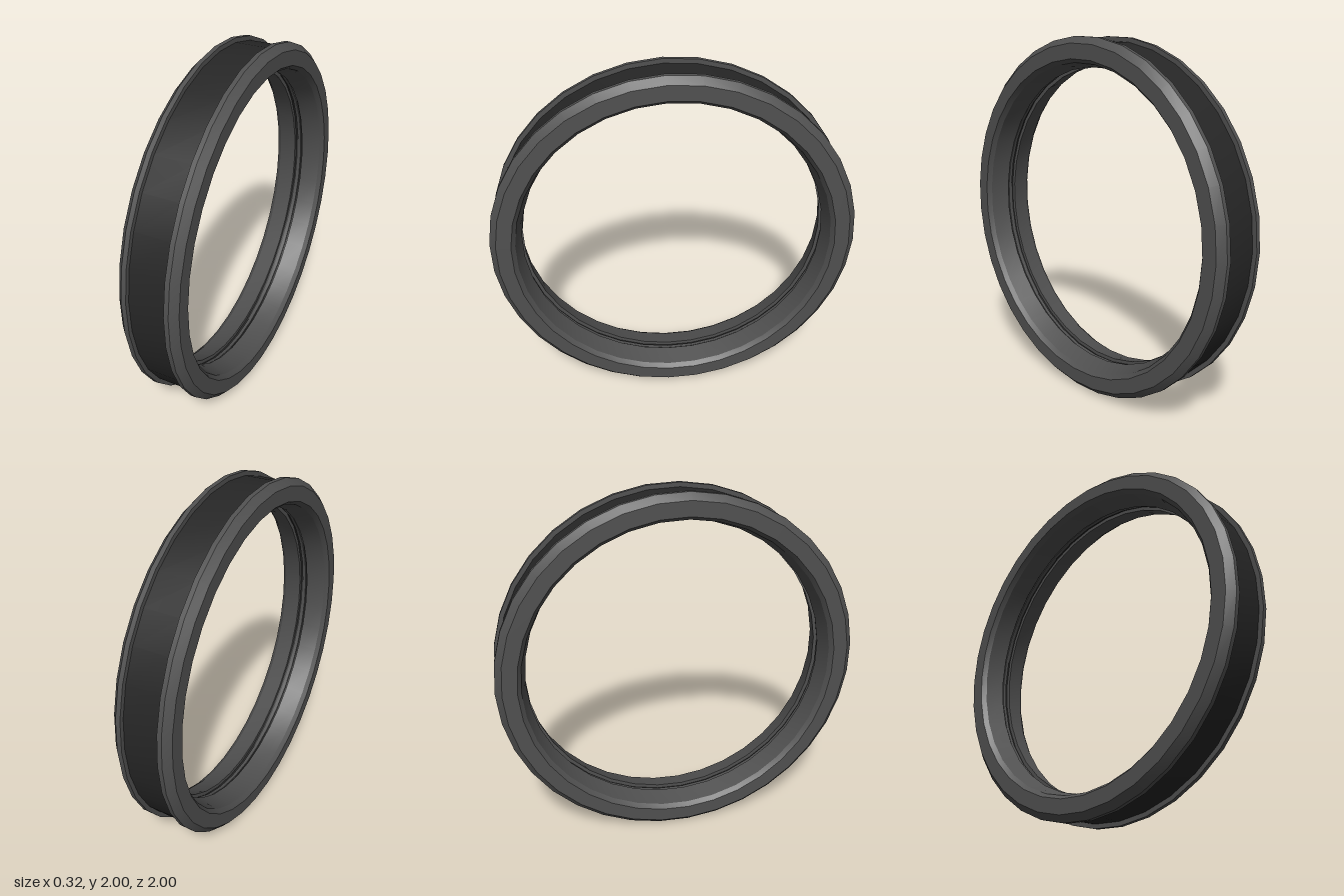
import * as THREE from 'three';
import { toCreasedNormals } from 'three/addons/utils/BufferGeometryUtils.js';

const SEGMENTS = 35;

// Closed ring around the x axis from [x, radius] points, outer side running towards -x
function ring(name, profile, color, segments = SEGMENTS) {
  const points = [...profile, profile[0]].map(([x, r]) => new THREE.Vector2(r, -x));
  const lathe = new THREE.LatheGeometry(points, segments, Math.PI);
  lathe.rotateZ(Math.PI / 2);
  const mesh = new THREE.Mesh(
    toCreasedNormals(lathe, 0.35),
    new THREE.MeshStandardMaterial({ color })
  );
  mesh.name = name;
  return mesh;
}

export function createModel() {
  const group = new THREE.Group();
  group.name = 'ring';
  const rimColor = 0x505050, bandColor = 0x262626;

  // Flanged rim: chamfered outside, bevelled and slightly tapered inside
  const rim = [
    [0.16, 0.885], [0.16, 0.965], [0.125, 1.001], [0.1, 1.001], [0.1, 0.93],
    [0.025, 0.93], [0.025, 0.84], [0.135, 0.865],
  ];
  const mirrored = rim.map(([x, r]) => [-x, r]).reverse();
  group.add(ring('leftRim', rim, rimColor));
  group.add(ring('rightRim', mirrored, rimColor));

  // Dark band recessed between the flanges, its inside is the floor of the groove
  group.add(ring('outerBand', [
    [0.1, 0.92], [0.1, 0.977], [-0.1, 0.977], [-0.1, 0.92],
    [-0.025, 0.92], [-0.025, 0.862], [0.025, 0.862], [0.025, 0.92],
  ], bandColor));

  // Thin rib in the inner groove
  group.add(ring('innerRib', [
    [0.01, 0.853], [0.01, 0.89], [-0.01, 0.89], [-0.01, 0.853],
  ], rimColor));

  group.position.y = 1;
  const model = new THREE.Group();
  model.name = 'flangedRing';
  model.add(group);
  return model;
}
